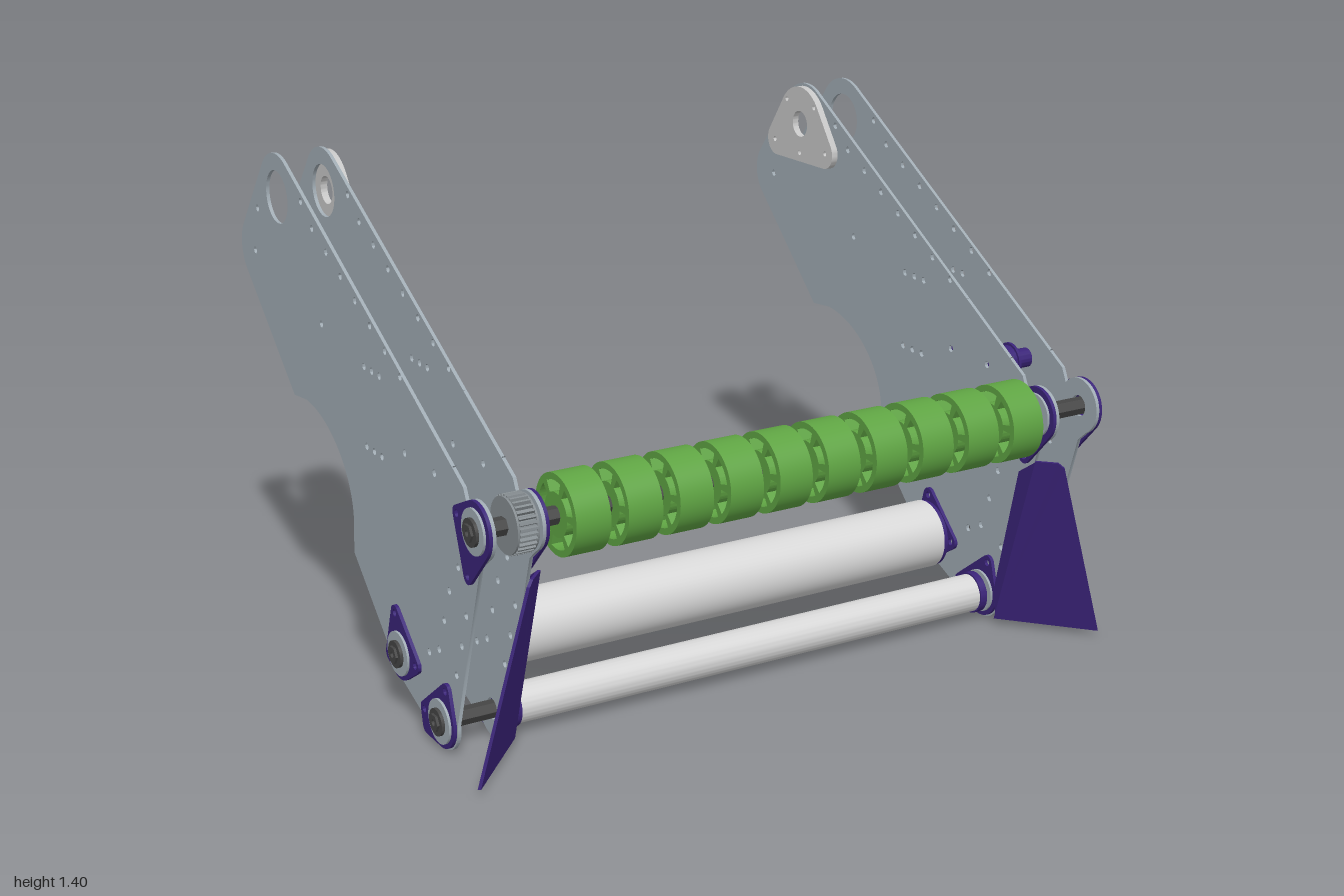
import * as THREE from 'three';
import { toCreasedNormals } from 'three/addons/utils/BufferGeometryUtils.js';

const mat = (name, color) => new THREE.MeshStandardMaterial({ name, color });
const rad = THREE.MathUtils.degToRad;

// Side-profile points are written as (z, y); shapes use X = -z.
const circlePath = (z, y, r) => new THREE.Path().absarc(-z, y, r, 0, Math.PI * 2, false);
const disc = (z, y, r, bore = 0) => {
  const s = new THREE.Shape().absarc(-z, y, r, 0, Math.PI * 2, false);
  if (bore) s.holes.push(circlePath(z, y, bore));
  return s;
};

// Convex outline wrapped around a set of circles [z, y, r]
function hull(circles) {
  const pts = [];
  for (const [z, y, r] of circles)
    for (let i = 0; i < 40; i++) {
      const a = i / 40 * Math.PI * 2;
      pts.push(new THREE.Vector2(-z + r * Math.cos(a), y + r * Math.sin(a)));
    }
  pts.sort((a, b) => a.x - b.x || a.y - b.y);
  const half = list => {
    const out = [];
    for (const p of list) {
      while (out.length > 1) {
        const a = out[out.length - 2], b = out[out.length - 1];
        if ((b.x - a.x) * (p.y - a.y) - (b.y - a.y) * (p.x - a.x) > 1e-9) break;
        out.pop();
      }
      out.push(p);
    }
    return out.slice(0, -1);
  };
  return new THREE.Shape([...half(pts), ...half(pts.reverse())]);
}

// Toothed outline for a belt pulley
function gear(z, y, r, teeth) {
  const pts = [];
  for (let i = 0; i < teeth; i++)
    [[0, 0.88], [0.2, 1], [0.55, 1], [0.75, 0.88]].forEach(([f, k]) => {
      const a = (i + f) / teeth * Math.PI * 2;
      pts.push(new THREE.Vector2(-z + r * k * Math.cos(a), y + r * k * Math.sin(a)));
    });
  const s = new THREE.Shape(pts);
  s.holes.push(circlePath(z, y, 0.02));
  return s;
}

export function createModel() {
  const model = new THREE.Group();
  const plateGrey = mat('plateGrey', 0xa0abb3);
  const purple = mat('purple', 0x3a2378);
  const green = mat('green', 0x5fa443);
  const rollerGrey = mat('rollerGrey', 0xd6d6d6);
  const pivotGrey = mat('pivotGrey', 0xc6c6c6);
  const dark = mat('darkSteel', 0x454545);
  const pulleyGrey = mat('pulleyGrey', 0x858c90);

  // Extrude a side profile from x0 to x1
  const slab = (name, shape, x0, x1, material, crease = 0.6) => {
    let g = new THREE.ExtrudeGeometry(shape, { depth: Math.abs(x1 - x0), bevelEnabled: false, curveSegments: 28 });
    g.rotateY(Math.PI / 2).translate(Math.min(x0, x1), 0, 0);
    g = toCreasedNormals(g, crease);
    const m = new THREE.Mesh(g, material);
    m.name = name;
    model.add(m);
    return m;
  };

  // Axles: [z, y] and the two bolt lobes of their bearing flanges
  const top = { z: 0.685, y: 0.69, r: 0.08, lobes: [[0.583, 0.705], [0.637, 0.552]] };
  const big = { z: 0.215, y: 0.18, r: 0.075, lobes: [[0.19, 0.288], [0.308, 0.178], [0.15, 0.155]] };
  const low = { z: 0.46, y: 0.08, r: 0.075, lobes: [[0.488, 0.175], [0.36, 0.075], [0.37, 0.03]] };
  const axles = [top, big, low];

  // Side plate outline with holes
  const plate = new THREE.Shape();
  plate.moveTo(-0.605, 0.845);
  plate.absarc(0.52, 1.275, 0.123, rad(117), rad(36), true);
  plate.absarc(0.695, 1.08, 0.1, rad(36), rad(-46), true);
  plate.lineTo(0.455, 0.715);
  plate.lineTo(0.37, 0.725);
  plate.bezierCurveTo(0.19, 0.715, 0.05, 0.57, 0.08, 0.42);
  plate.lineTo(0.08, 0.365);
  plate.lineTo(-0.13, 0.16);
  plate.lineTo(-0.2, 0.1);
  plate.lineTo(-0.37, 0.03);
  plate.absarc(-0.46, 0.08, 0.08, rad(-50), rad(-190), true);
  plate.lineTo(-0.69, 0.59);
  plate.absarc(-0.685, 0.69, 0.08, rad(-120), rad(-320), true);
  plate.lineTo(-0.605, 0.78);
  const bolts = [
    [0.555, 0.81], [0.44, 0.765], [0.265, 0.765], [-0.245, 0.98], [-0.355, 1.3], [-0.665, 1.21], [-0.695, 1.08],
    [0.565, 0.55], [0.51, 0.465], [0.475, 0.37], [0.44, 0.275], [0.38, 0.245], [0.54, 0.24], [0.575, 0.335], [0.605, 0.43],
  ];
  for (let i = 0; i < 8; i++) bolts.push([0.34 - i * 0.0893, 0.925 + i * 0.045]);
  for (const y of [0.71, 0.935]) for (const z of [0.122, 0.075, 0.027]) bolts.push([z, y]);
  for (const [z, y] of bolts) plate.holes.push(circlePath(z, y, 0.01));
  plate.holes.push(circlePath(-0.52, 1.275, 0.075));
  for (const a of axles) plate.holes.push(circlePath(a.z, a.y, 0.03));

  // Pivot plate with centre bore
  const pivot = hull([[-0.52, 1.275, 0.115], [-0.388, 1.21, 0.048], [-0.652, 1.2, 0.048]]);
  pivot.holes.push(circlePath(-0.52, 1.275, 0.04));
  for (const [z, y] of [[-0.38, 1.21], [-0.66, 1.2], [-0.445, 1.34], [-0.595, 1.34], [-0.52, 1.185]])
    pivot.holes.push(circlePath(z, y, 0.008));

  for (const s of [-1, 1]) {
    slab('outerPlate', plate, s * 0.94, s * 0.95, plateGrey);
    slab('innerPlate', plate, s * 0.8, s * 0.81, plateGrey);
    slab('pivotPlate', pivot, s * 0.78, s * 0.8, pivotGrey);

    // Bearing flanges on both plates
    for (const a of axles) {
      const flange = hull([[a.z, a.y, a.r], ...a.lobes.map(([z, y]) => [z, y, 0.022])]);
      flange.holes.push(circlePath(a.z, a.y, 0.03));
      for (const [z, y] of a.lobes.slice(0, 2)) flange.holes.push(circlePath(z, y, 0.01));
      for (const [x, d] of [[0.95, 1], [0.8, -1]]) {
        slab('bearingFlange', flange, s * x, s * (x + d * 0.01), purple);
        slab('bearingRing', disc(a.z, a.y, 0.062, 0.038), s * (x + d * 0.01), s * (x + d * 0.017), plateGrey);
        slab('shaftCollar', disc(a.z, a.y, 0.038, 0.02), s * (x + d * 0.01), s * (x + d * 0.026), dark);
      }
    }

    // Slanted corner guard: a thin leaning panel
    const corners = [[0.79, 0.02, 0.54], [1, 0.015, 0.755], [0.85, 0.54, 0.755], [0.835, 0.555, 0.745], [0.79, 0.555, 0.7]];
    const pos = [], idx = [];
    for (const t of [0, 0.009])
      for (const [x, y, z] of corners) pos.push(s * (x - t * 0.7), y, z - 0.007 + t * 0.7);
    for (const [a, b, c] of [[0, 1, 2], [0, 2, 3], [0, 3, 4]]) idx.push(a, c, b, a + 5, b + 5, c + 5);
    for (let i = 0; i < 5; i++) {
      const j = (i + 1) % 5;
      idx.push(i, j, j + 5, i, j + 5, i + 5);
    }
    if (s > 0) for (let i = 0; i < idx.length; i += 3) [idx[i + 1], idx[i + 2]] = [idx[i + 2], idx[i + 1]];
    // Winding is chosen so the front face looks outward on both sides
    for (let i = 0; i < idx.length; i += 3) [idx[i + 1], idx[i + 2]] = [idx[i + 2], idx[i + 1]];
    const indexed = new THREE.BufferGeometry();
    indexed.setAttribute('position', new THREE.Float32BufferAttribute(pos, 3));
    indexed.setIndex(idx);
    const g = indexed.toNonIndexed();
    g.computeVertexNormals();
    const guardMat = purple;
    guardMat.side = THREE.DoubleSide;
    const guard = new THREE.Mesh(g, guardMat);
    guard.name = 'cornerGuard';
    model.add(guard);
    const strip = new THREE.Shape([[0.7, 0.555], [0.54, 0.02], [0.53, 0.12], [0.62, 0.5]]
      .map(([z, y]) => new THREE.Vector2(-z, y)));
    slab('guardMountingStrip', strip, s * 0.789, s * 0.799, purple);

    // Roller end caps
    slab('largeRollerCap', disc(big.z, big.y, 0.098, 0.02), s * 0.762, s * 0.778, purple);
    slab('smallRollerCap', disc(low.z, low.y, 0.06, 0.02), s * 0.75, s * 0.772, purple);
  }

  // Hollow hexagonal shafts
  for (const a of axles) {
    const hex = new THREE.Shape(Array.from({ length: 6 }, (_, i) => new THREE.Vector2(
      -a.z + 0.025 * Math.cos(i * Math.PI / 3), a.y + 0.025 * Math.sin(i * Math.PI / 3))));
    hex.holes.push(circlePath(a.z, a.y, 0.009));
    slab('hexShaft', hex, -0.983, 0.983, dark);
  }

  // Plain rollers
  slab('largeRoller', disc(big.z, big.y, 0.1, 0.085), -0.765, 0.765, rollerGrey);
  slab('smallRoller', disc(low.z, low.y, 0.055, 0.045), -0.752, 0.752, rollerGrey);

  // Spoked wheels on the upper shaft
  const wheel = disc(top.z, top.y, 0.11, 0.024);
  for (let i = 0; i < 6; i++) {
    const a = i * Math.PI / 3, b = a + 0.8;
    const slot = new THREE.Path();
    slot.absarc(-top.z, top.y, 0.092, a, b, false);
    slot.absarc(-top.z, top.y, 0.06, b, a, true);
    slot.closePath();
    wheel.holes.push(slot);
  }
  for (let i = 0; i < 10; i++) {
    const x = -0.681 + i * 0.1513;
    slab('intakeWheel', wheel, x - 0.05, x + 0.05, green);
  }

  // Pulleys between the plates
  slab('drivePulley', gear(top.z, top.y, 0.08, 32), -0.872, -0.822, pulleyGrey, 0.3);
  for (const x of [-0.878, -0.822]) slab('pulleyRim', disc(top.z, top.y, 0.076, 0.02), x, x + 0.006, pulleyGrey);
  slab('largeRollerPulley', gear(big.z, big.y, 0.078, 26), 0.825, 0.885, dark, 0.3);
  slab('smallRollerPulley', gear(low.z, low.y, 0.055, 20), 0.825, 0.885, dark, 0.3);

  // Belt idlers on the left side
  for (const z of [0.44, 0.265]) {
    slab('idlerFlange', disc(z, 0.765, 0.052, 0.01), 0.812, 0.82, purple);
    slab('idlerDrum', disc(z, 0.765, 0.045, 0.01), 0.82, 0.876, purple);
    slab('idlerFlange', disc(z, 0.765, 0.052, 0.01), 0.876, 0.884, purple);
    slab('idlerSpacer', disc(z, 0.765, 0.028, 0.01), 0.884, 0.94, purple);
  }
  return model;
}
